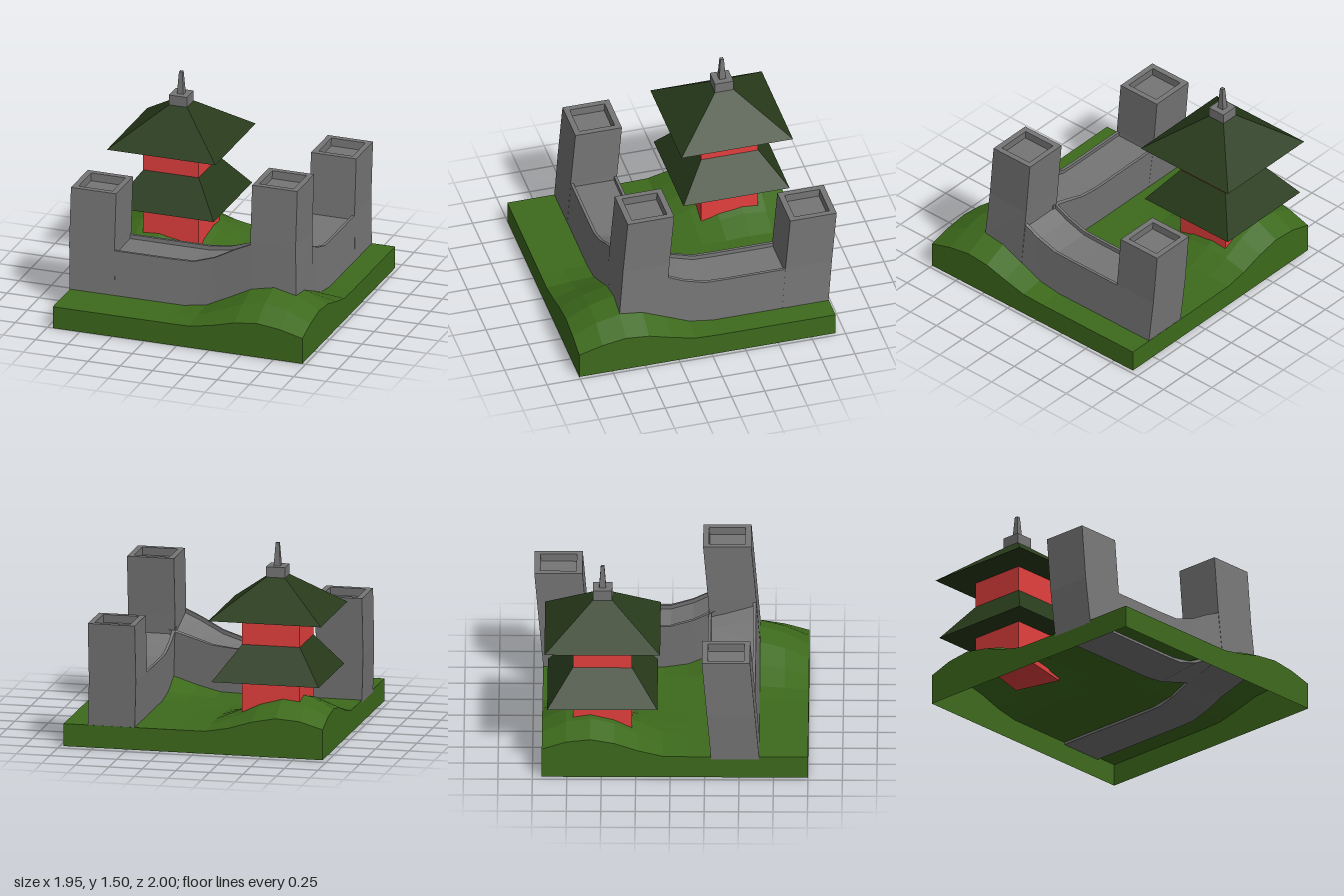
import * as THREE from 'three';

const GROUND = 0.167;
const mat = (color, options = { flatShading: true }) =>
  new THREE.MeshStandardMaterial({ color, ...options });

// height of the two rounded hills above the flat ground
function hill(x, z) {
  const bump = (cx, cz) => {
    const d = Math.min(Math.hypot(x - cx, z - cz) / 0.675, 1);
    return 0.243 * Math.cos(d * Math.PI / 2) ** 2;
  };
  return bump(0.62, 0.62) + bump(-0.65, -0.6);
}

// move every vertex of a geometry by a rule
function warp(geometry, rule) {
  const p = geometry.attributes.position;
  const v = new THREE.Vector3();
  for (let i = 0; i < p.count; i++) {
    rule(v.fromBufferAttribute(p, i));
    p.setXYZ(i, v.x, v.y, v.z);
  }
  geometry.computeVertexNormals();
  return geometry;
}

// give both triangles of each quad one shared normal
function facetQuads(geometry) {
  const flat = geometry.toNonIndexed();
  flat.computeVertexNormals();
  const n = flat.attributes.normal;
  const a = new THREE.Vector3(), b = new THREE.Vector3();
  for (let i = 0; i < n.count; i += 6) {
    a.fromBufferAttribute(n, i).add(b.fromBufferAttribute(n, i + 3)).normalize();
    for (let k = i; k < i + 6; k++) n.setXYZ(k, a.x, a.y, a.z);
  }
  return flat;
}

// masonry leans slightly backwards, flares at the foot and is lifted by the hill
function settle(geometry, lift) {
  return warp(geometry, v => {
    const h = v.y;
    v.y += GROUND + lift(v);
    v.x -= 0.045 * Math.min(h, 0.338);
    v.z -= 0.085 * h;
  });
}

function polygon(points) {
  return new THREE.Shape(points.map(([x, y]) => new THREE.Vector2(x, y)));
}

function square(half) {
  return [[-half, -half], [half, -half], [half, half], [-half, half]];
}

export function createModel() {
  const model = new THREE.Group();
  const grass = mat(0x3d6a1c, { side: THREE.DoubleSide });
  const stone = mat(0x767676);
  const tile = mat(0x283b1b);
  const red = mat(0xe5403e);

  const add = (parent, name, geometry, material) => {
    const mesh = new THREE.Mesh(geometry, material);
    mesh.name = name;
    parent.add(mesh);
  };

  // ground block with hills, open underneath
  const ground = new THREE.BoxGeometry(1.932, GROUND, 1.932, 11, 1, 11);
  const index = [...ground.index.array];
  index.splice(ground.groups[3].start, ground.groups[3].count);
  ground.setIndex(index);
  ground.clearGroups();
  ground.translate(0.007, GROUND / 2, 0.034);
  warp(ground, v => { if (v.y > 0.1) v.y += hill(v.x, v.z); });
  add(model, 'ground', facetQuads(ground), grass);

  // towers: solid shaft with a parapet ring around a sunken floor
  const HALF = 0.175, TOP = 0.772, SUNK = 0.06, FOOT = -0.02;
  function tower(name, x, z, raise) {
    const group = new THREE.Group();
    group.name = name;
    const lift = v => (v.y < 0 ? hill(v.x, v.z) : raise);
    const shaft = new THREE.BoxGeometry(HALF * 2, TOP - SUNK - FOOT, HALF * 2, 1, 2, 1);
    shaft.translate(x, (TOP - SUNK + FOOT) / 2, z);
    add(group, 'towerShaft', settle(shaft, lift), stone);

    const ring = polygon(square(HALF));
    ring.holes.push(polygon(square(0.132)));
    const parapet = new THREE.ExtrudeGeometry(ring, { depth: SUNK, bevelEnabled: false });
    parapet.rotateX(-Math.PI / 2).translate(x, TOP - SUNK, z);
    add(group, 'towerParapet', settle(parapet, lift), stone);
    model.add(group);
  }
  tower('frontLeftTower', -0.785, 0.47, 0);
  tower('cornerTower', 0.618, 0.47, 0.222);
  tower('backTower', 0.618, -0.755, 0);

  // walls: channel section with low parapets, following the terrain into the towers
  const W = HALF - 0.001, LIP = W - 0.022;
  const section = polygon([
    [-W, FOOT], [W, FOOT], [W, 0.338], [LIP, 0.338],
    [LIP, 0.308], [-LIP, 0.308], [-LIP, 0.338], [-W, 0.338],
  ]);
  const wall = (length, steps) =>
    new THREE.ExtrudeGeometry(section, { depth: length, steps, bevelEnabled: false });
  const follow = v => hill(v.x, v.z);
  const frontWall = wall(1.14, 7).rotateY(Math.PI / 2).translate(-0.65, 0, 0.47);
  add(model, 'frontWall', settle(frontWall, follow), stone);
  const sideWall = wall(0.965, 6).translate(0.618, 0, -0.62);
  add(model, 'sideWall', settle(sideWall, follow), stone);

  // pagoda: stacked square frustums, given as half widths and heights
  const CX = -0.52, CZ = -0.493;
  const pagoda = new THREE.Group();
  pagoda.name = 'pagoda';
  const frustum = (low, high, y0, y1) =>
    new THREE.CylinderGeometry(high * Math.SQRT2, low * Math.SQRT2, y1 - y0, 4)
      .rotateY(Math.PI / 4).translate(CX, (y0 + y1) / 2, CZ);
  // the ground floor's underside follows the hill
  const lowerStorey = warp(frustum(0.215, 0.215, 0.2, 0.54), v => {
    if (v.y < 0.3) v.y = GROUND - 0.02 + hill(v.x, v.z);
  });
  add(pagoda, 'lowerStorey', lowerStorey, red);
  add(pagoda, 'lowerRoof', frustum(0.4, 0.215, 0.527, 0.777), tile);
  add(pagoda, 'upperStorey', frustum(0.215, 0.215, 0.777, 0.98), red);
  add(pagoda, 'upperRoofSoffit', frustum(0.215, 0.42, 0.967, 0.985), tile);
  add(pagoda, 'upperRoof', frustum(0.42, 0.07, 0.985, 1.253), tile);
  add(pagoda, 'finialBlock', frustum(0.07, 0.07, 1.253, 1.33), stone);
  add(pagoda, 'finialSpire', frustum(0.025, 0.013, 1.33, 1.5), stone);
  model.add(pagoda);

  return model;
}
